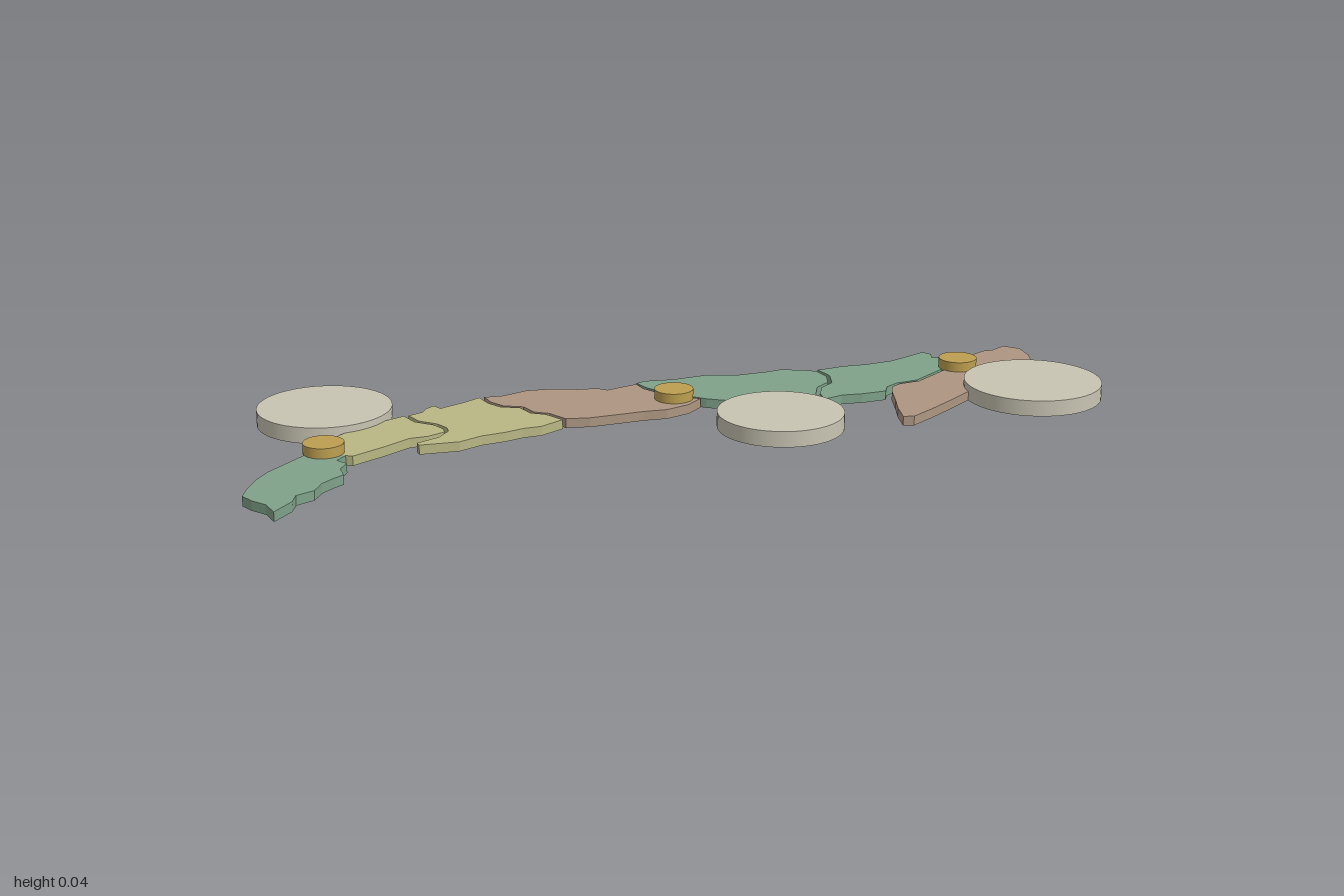
import * as THREE from 'three';

const material = (name, color) => {
  const m = new THREE.MeshStandardMaterial({ color });
  m.name = name;
  return m;
};

// Plan outlines of the slabs as x, z pairs, from the tail to the far end
const OUTLINES = {
  tailSlab: ['green', [-1, -.125, -.97, -.155, -.925, -.19, -.88, -.215, -.82, -.235, -.76, -.255, -.715, -.255,
    -.695, -.195, -.73, -.18, -.725, -.15, -.755, -.13, -.77, -.095, -.8, -.09, -.835, -.08, -.87, -.055,
    -.915, -.055, -.94, -.03, -1, -.005, -.99, -.05, -1, -.09]],
  narrowSlab: ['olive', [-.705, -.29, -.67, -.305, -.61, -.32, -.53, -.33, -.45, -.33, -.455, -.28, -.435, -.235,
    -.435, -.2, -.445, -.18, -.49, -.18, -.53, -.195, -.61, -.185, -.69, -.18, -.71, -.21]],
  raggedSlab: ['olive', [-.44, -.325, -.4, -.325, -.38, -.34, -.355, -.345, -.355, -.32, -.29, -.32, -.24, -.325,
    -.25, -.28, -.245, -.24, -.215, -.205, -.22, -.16, -.2, -.13, -.195, -.075, -.26, -.07, -.3, -.085,
    -.345, -.09, -.4, -.105, -.46, -.105, -.5, -.125, -.54, -.145, -.535, -.16, -.475, -.16, -.435, -.18,
    -.425, -.2, -.425, -.235, -.445, -.28]],
  middleSlab: ['brown', [-.23, -.32, -.19, -.3, -.125, -.295, -.07, -.265, -.03, -.225, .01, -.2, .02, -.175,
    .1, -.165, .09, -.13, .095, -.09, .07, -.06, .12, -.02, .14, .015, .09, .03, .03, .025, -.02, 0,
    -.075, -.02, -.14, -.045, -.185, -.075, -.19, -.13, -.21, -.16, -.205, -.205, -.235, -.24, -.24, -.28]],
  broadSlab: ['green', [.105, -.17, .13, -.17, .19, -.135, .27, -.11, .33, -.06, .395, -.035, .435, -.025,
    .475, .015, .49, .04, .48, .085, .45, .12, .405, .13, .365, .165, .345, .205, .32, .185, .27, .12,
    .21, .105, .17, .055, .15, .025, .13, -.02, .08, -.055, .105, -.09, .1, -.13]],
  lowerSlab: ['green', [.5, .035, .57, .055, .62, .08, .69, .1, .795, .1, .8, .125, .78, .145, .81, .175,
    .85, .195, .835, .22, .8, .24, .73, .225, .675, .235, .62, .245, .57, .23, .53, .235, .505, .255,
    .45, .235, .405, .21, .355, .205, .375, .17, .41, .138, .455, .128, .49, .085]],
  endSlab: ['brown', [.86, .195, .915, .19, .94, .2, .985, .195, 1, .235, .975, .285, .935, .33, .86, .36,
    .76, .37, .64, .385, .57, .4, .49, .415, .42, .425, .4, .41, .435, .36, .47, .32, .515, .265,
    .54, .243, .57, .238, .62, .253, .675, .243, .73, .233, .8, .248, .845, .225]],
};

export function createModel() {
  const model = new THREE.Group();
  model.name = 'segmentedMap';
  const mats = {
    green: material('sage green', 0x7fa28a),
    olive: material('pale olive', 0xb9b785),
    brown: material('dusty brown', 0xad9682),
    stone: material('stone', 0xc8c4b3),
    gold: material('gold', 0xbd9f50),
  };
  const add = (geometry, mat, name) => {
    const mesh = new THREE.Mesh(geometry, mat);
    mesh.name = name;
    model.add(mesh);
    return mesh;
  };

  // Flat slabs that fit together with thin gaps
  for (const [name, [color, xz]] of Object.entries(OUTLINES)) {
    const points = [];
    for (let i = 0; i < xz.length; i += 2) points.push(new THREE.Vector2(xz[i], -xz[i + 1]));
    const slab = new THREE.ExtrudeGeometry(new THREE.Shape(points), { depth: .022, bevelEnabled: false });
    add(slab.rotateX(-Math.PI / 2), mats[color], name);
  }

  // Round parts start just above the slab undersides
  const disc = (x, z, radius, top, mat, name) => {
    const bottom = .001;
    const geometry = new THREE.CylinderGeometry(radius, radius, top - bottom, 48);
    add(geometry, mat, name).position.set(x, (top + bottom) / 2, z);
  };

  // Large discs beside the strip
  disc(-.572, -.465, .153, .038, mats.stone, 'backDisc');
  disc(.185, .235, .144, .038, mats.stone, 'middleDisc');
  disc(.79, .455, .16, .038, mats.stone, 'frontDisc');

  // Small marker pins on the joints
  [[-.722, -.243], [.098, -.03], [.773, .235]].forEach(([x, z], i) =>
    disc(x, z, .045, .045, mats.gold, `markerPin${i + 1}`));

  return model;
}
